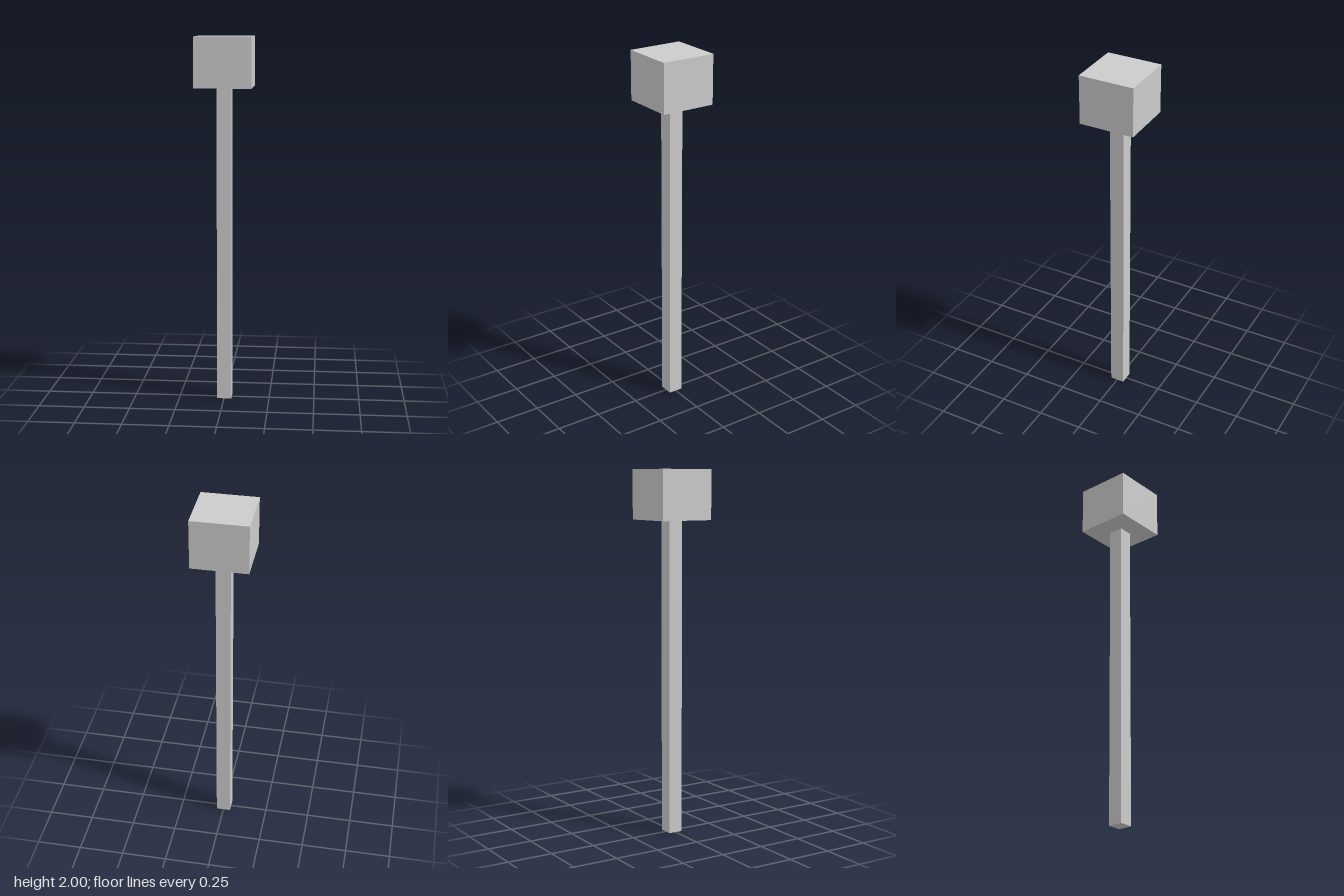
import * as THREE from 'three';

export function createModel() {
  const group = new THREE.Group();
  const material = new THREE.MeshStandardMaterial({ color: 0xcccccc, flatShading: true });

  // Square upright block standing on the given base height
  const addBlock = (name, width, height, baseY) => {
    const mesh = new THREE.Mesh(new THREE.BoxGeometry(width, height, width), material);
    mesh.name = name;
    mesh.position.y = baseY + height / 2;
    group.add(mesh);
  };

  const headHeight = 0.27;
  const postHeight = 2 - headHeight;
  addBlock('post', 0.08, postHeight, 0);
  addBlock('head', 0.305, headHeight, postHeight);

  return group;
}
